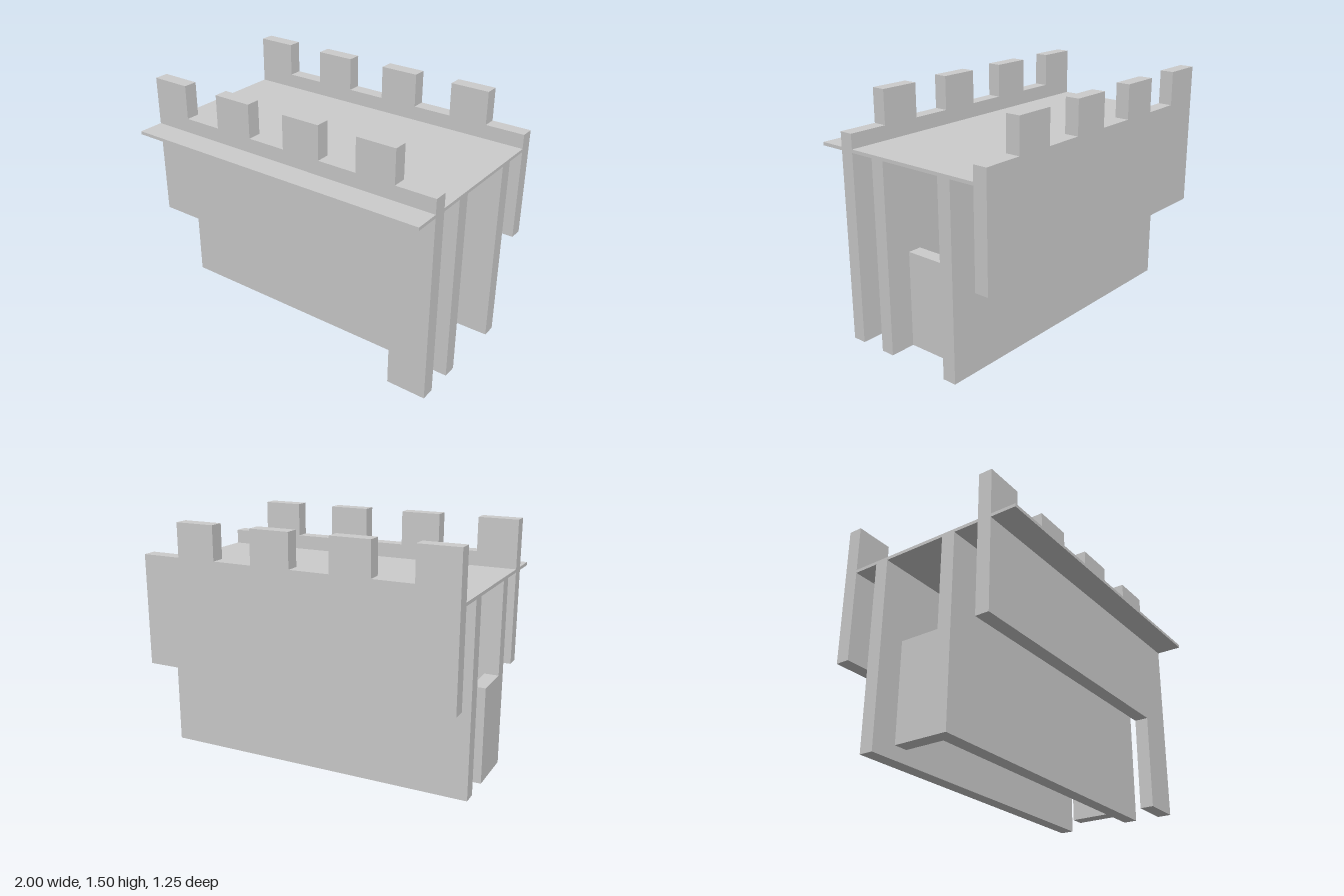
import * as THREE from 'three';

const T = 0.0875; // panel thickness

export function createModel() {
  const model = new THREE.Group();
  const material = new THREE.MeshStandardMaterial({ color: 0xcccccc, flatShading: true });

  const add = (name, geometry) => {
    const mesh = new THREE.Mesh(geometry, material);
    mesh.name = name;
    model.add(mesh);
  };

  // Box given by its limits on each axis
  const box = (name, [x0, x1], [y0, y1], [z0, z1]) => {
    const g = new THREE.BoxGeometry(x1 - x0, y1 - y0, z1 - z0);
    add(name, g.translate((x0 + x1) / 2, (y0 + y1) / 2, (z0 + z1) / 2));
  };

  // Crenellated wall: bottom outline, then four merlons along the top
  const battlement = (name, bottom, z) => {
    const pts = bottom.map(([x, y]) => new THREE.Vector2(x, y));
    for (let i = 3; i >= 0; i--) {
      const x = -1 + i * 0.5;
      pts.push(
        new THREE.Vector2(x + 0.5, 1.29), new THREE.Vector2(x + 0.25, 1.29),
        new THREE.Vector2(x + 0.25, 1.5), new THREE.Vector2(x, 1.5));
    }
    const g = new THREE.ExtrudeGeometry(new THREE.Shape(pts), { depth: T, bevelEnabled: false });
    add(name, g.translate(0, 0, z));
  };

  // Front wall reaches the ground with one leg; back wall hangs
  battlement('frontBattlement', [[-1, 0.6], [0.75, 0.6], [0.75, 0], [1, 0]], 0.375);
  battlement('backBattlement', [[-1, 0.6], [1, 0.6]], -0.625);

  // Walkway deck, split around the front wall
  box('deck', [-1, 1], [1.18, 1.2], [-0.5375, 0.375]);
  box('deckLedge', [-1, 1], [1.18, 1.2], [0.4625, 0.625]);

  // Inner walls carrying the deck
  box('frontInnerWall', [-1, 1], [0, 1.18], [0.125, 0.2125]);
  box('backInnerWall', [-1, 1], [0, 1.18], [-0.375, -0.2875]);

  // Low cross walls between the inner walls
  box('rightCrossWall', [-1, -1 + T], [0, 0.6], [-0.125, 0.125]);
  box('leftCrossWall', [0.75, 0.75 + T], [0, 0.6], [-0.125, 0.125]);

  return model;
}
